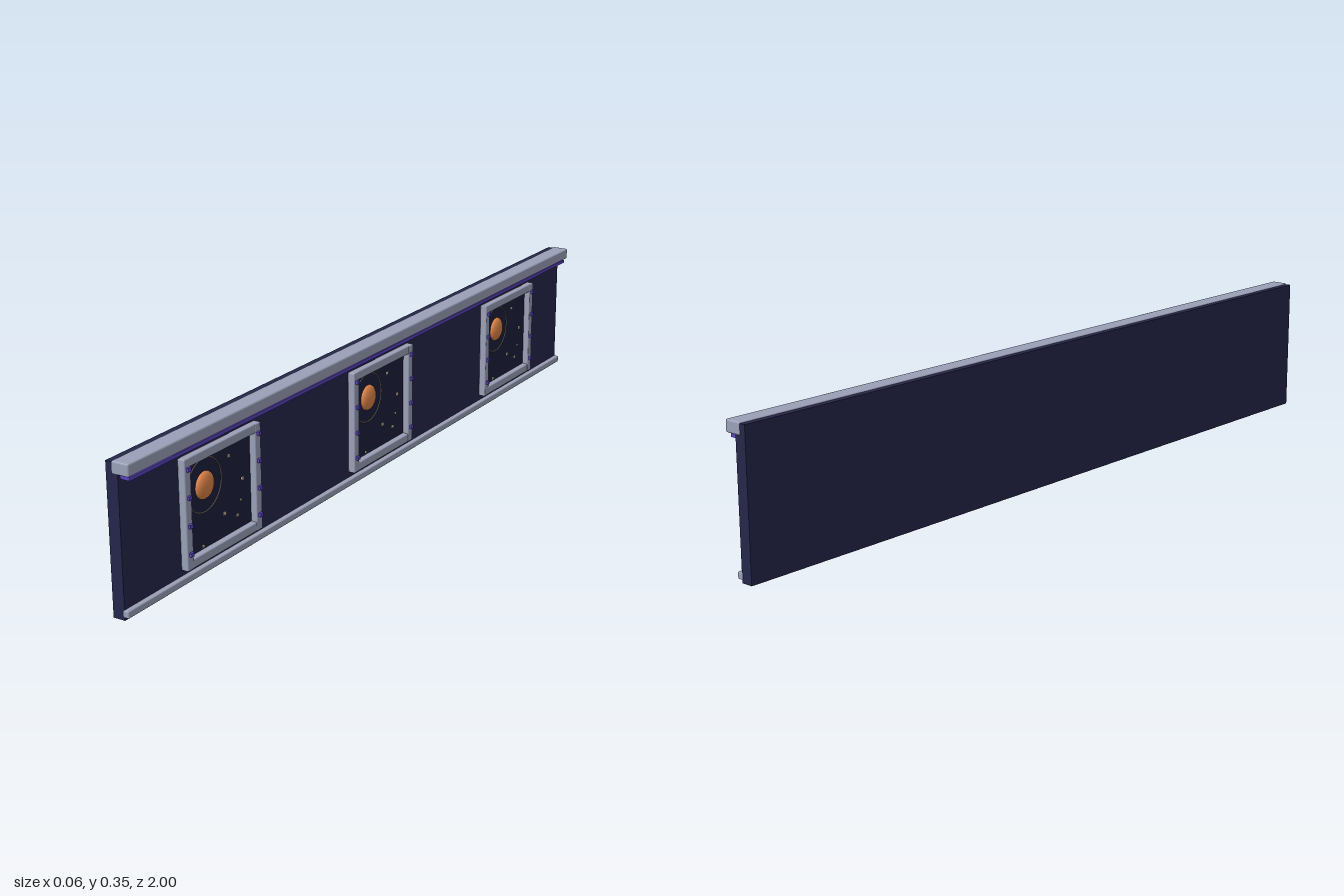
import * as THREE from 'three';
import { RoundedBoxGeometry } from 'three/addons/geometries/RoundedBoxGeometry.js';

const material = (name, color) => {
  const m = new THREE.MeshStandardMaterial({ color });
  m.name = name;
  return m;
};

export function createModel() {
  const navy = material('navy wall', 0x25264a);
  const glass = material('night glass', 0x1c1e3c);
  const metal = material('grey metal', 0x9aa0b8);
  const violet = material('violet trim', 0x5b43c4);
  const orange = material('planet orange', 0xdd8348);
  const ringTan = material('orbit tan', 0x8f8a80);
  const cream = material('star cream', 0xe6dcae);

  const model = new THREE.Group();
  model.name = 'wallSection';

  const add = (parent, name, geometry, mat, x, y, z) => {
    const mesh = new THREE.Mesh(geometry, mat);
    mesh.name = name;
    mesh.position.set(x, y, z);
    parent.add(mesh);
    return mesh;
  };
  // Box given by its limits in x and y, its length and centre in z
  const bar = (parent, name, mat, x0, x1, y0, y1, length, z = 0, radius = 0) => {
    const size = [x1 - x0, y1 - y0, length];
    const geometry = radius
      ? new RoundedBoxGeometry(...size, 2, radius)
      : new THREE.BoxGeometry(...size);
    return add(parent, name, geometry, mat, (x0 + x1) / 2, (y0 + y1) / 2, z);
  };

  // Wall and its long rails
  bar(model, 'wallPanel', navy, -0.03, 0, 0, 0.348, 1.996);
  bar(model, 'topRail', metal, -0.015, 0.029, 0.322, 0.351, 2, 0, 0.004);
  bar(model, 'lightStrip', violet, 0, 0.024, 0.311, 0.319, 1.98);
  bar(model, 'bottomRail', metal, -0.003, 0.012, 0.007, 0.024, 2, 0, 0.003);

  // Stars as [z offset, y, size]
  const stars = [
    [-0.037, 0.243, 0.006], [0.008, 0.27, 0.005], [-0.086, 0.174, 0.007],
    [-0.016, 0.115, 0.007], [-0.064, 0.094, 0.006], [0.064, 0.067, 0.005],
    [-0.078, 0.126, 0.004],
  ];
  const halfWidth = 0.139, barWidth = 0.022;
  const bottom = 0.038, top = 0.294;

  for (const z of [0.667, 0, -0.667]) {
    const porthole = new THREE.Group();
    porthole.name = 'window';
    porthole.position.z = z;
    model.add(porthole);

    // Pane and frame
    bar(porthole, 'pane', glass, 0, 0.003, bottom + 0.01, top - 0.01, 0.256);
    bar(porthole, 'frameBottom', metal, 0, 0.018, bottom, bottom + barWidth, halfWidth * 2, 0, 0.003);
    bar(porthole, 'frameTop', metal, 0, 0.018, top - barWidth, top, halfWidth * 2, 0, 0.003);
    for (const side of [-1, 1]) {
      const zBar = side * (halfWidth - barWidth / 2);
      bar(porthole, 'frameSide', metal, 0, 0.019, bottom, top, barWidth, zBar, 0.003);
      for (const y of [0.076, 0.141, 0.206, 0.27]) {
        bar(porthole, 'stud', violet, 0.018, 0.025, y - 0.0045, y + 0.0045, 0.01, zBar);
      }
    }

    // Flattened planet, its orbit and the stars
    const planet = add(porthole, 'planet', new THREE.SphereGeometry(0.032, 16, 12), orange, 0.004, 0.206, 0.053);
    planet.scale.x = 0.4;
    const orbit = add(porthole, 'orbit', new THREE.TorusGeometry(0.062, 0.0015, 6, 40), ringTan, 0.004, 0.206, 0.053);
    orbit.rotation.y = Math.PI / 2;
    for (const [dz, y, size] of stars) {
      add(porthole, 'star', new THREE.BoxGeometry(0.004, size, size), cream, 0.004, y, dz);
    }
  }
  return model;
}
